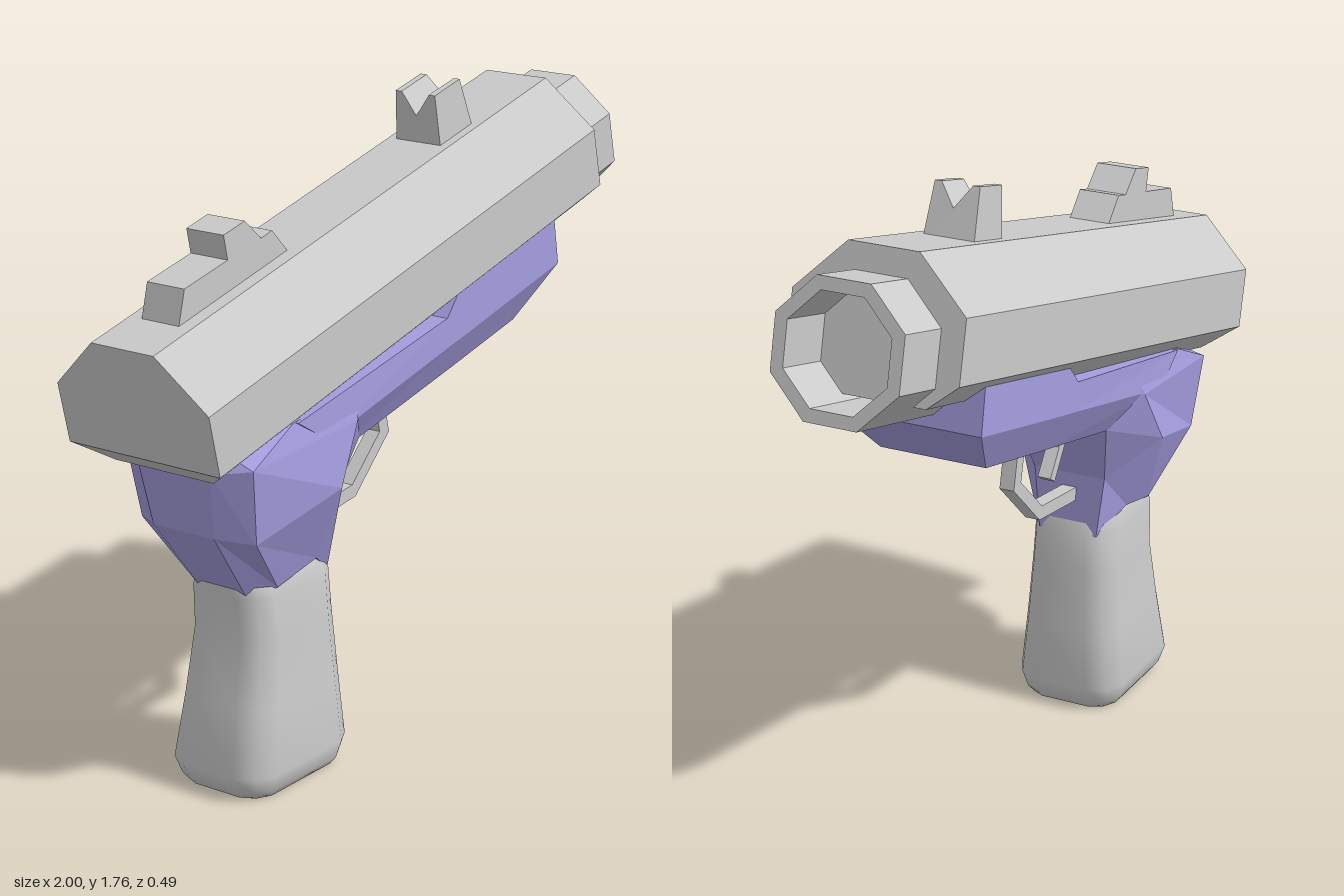
import * as THREE from 'three';

const grey = new THREE.MeshStandardMaterial({ color: 0xcccccc, flatShading: true });
const greyDouble = new THREE.MeshStandardMaterial({ color: 0xcccccc, flatShading: true, side: THREE.DoubleSide });
const greySmooth = new THREE.MeshStandardMaterial({ color: 0xcccccc });
const purple = new THREE.MeshStandardMaterial({ color: 0xa59ee0, flatShading: true });

function add(parent, name, geometry, material) {
  const mesh = new THREE.Mesh(geometry, material);
  mesh.name = name;
  parent.add(mesh);
  return mesh;
}

// Closed skin through cross-sections; each section is a half outline [x, y, z] mirrored in z
function loft(halves) {
  const rings = halves.map(h => [...h, ...h.map(([x, y, z]) => [x, y, -z]).reverse()]);
  const n = rings[0].length, last = (rings.length - 1) * n;
  const pts = rings.flat(), index = [];
  for (let r = 0; r < rings.length - 1; r++) {
    for (let i = 0; i < n; i++) {
      const a = r * n + i, b = r * n + (i + 1) % n;
      index.push(a, b, a + n, b, b + n, a + n);
    }
  }
  // End caps in strips between mirrored points
  for (let i = 0; i < n / 2 - 1; i++) {
    const a = i, b = i + 1, c = n - 2 - i, d = n - 1 - i;
    index.push(a, c, b, a, d, c);
    index.push(last + a, last + b, last + c, last + a, last + c, last + d);
  }
  // Turn the faces outward if the enclosed volume is negative
  let volume = 0;
  const v = i => new THREE.Vector3(...pts[i]);
  for (let i = 0; i < index.length; i += 3) {
    volume += v(index[i]).dot(v(index[i + 1]).cross(v(index[i + 2])));
  }
  if (volume < 0) index.reverse();
  const g = new THREE.BufferGeometry();
  g.setAttribute('position', new THREE.Float32BufferAttribute(pts.flat(), 3));
  g.setIndex(index);
  g.computeVertexNormals();
  return g;
}

// Flat side outline given thickness, centred on z = 0
function plate(outline, width) {
  const shape = new THREE.Shape(outline.map(p => new THREE.Vector2(...p)));
  return new THREE.ExtrudeGeometry(shape, { depth: width, bevelEnabled: false }).translate(0, 0, -width / 2);
}

export function createModel() {
  const model = new THREE.Group();
  model.name = 'blaster';

  // Tilted upper assembly: x runs along the barrel, y = 0 is the top face
  const upper = new THREE.Group();
  upper.name = 'upperAssembly';
  upper.position.set(-1, 1.3, 0);
  upper.rotation.z = Math.atan2(0.41, 1.72);
  model.add(upper);

  // Slide with a chamfered lower rear edge
  const section = [[0, 0.1], [-0.14, 0.245], [-0.31, 0.245], [-0.38, 0.16]];
  add(upper, 'slide', loft([
    section.map(([y, z], i) => [i === 3 ? 0.064 : 0, y, z]),
    section.map(([y, z]) => [1.769, y, z]),
  ]), grey);

  // Hollow eight-sided barrel with a stepped bore
  const k = 1 / Math.cos(Math.PI / 8);
  const profile = [[0, 0.72], [0.18, 0.72], [0.18, 1.95], [0.145, 1.95], [0.145, 1.02], [0.1, 1.02], [0.1, 0.76], [0, 0.76]];
  const barrel = add(upper, 'barrel', new THREE.LatheGeometry(
    profile.map(([r, y]) => new THREE.Vector2(r * k, y)), 8, Math.PI / 8), greyDouble);
  barrel.rotation.z = -Math.PI / 2;
  barrel.position.y = -0.25;

  // Front sight: notched profile along the barrel, narrowing upward
  const notch = new THREE.Shape([
    [-0.075, -0.03], [0.075, -0.03], [0.065, 0.138], [0.045, 0.138],
    [0, 0.075], [-0.045, 0.138], [-0.065, 0.138],
  ].map(p => new THREE.Vector2(...p)));
  const sight = new THREE.ExtrudeGeometry(notch, { depth: 0.16, bevelEnabled: false });
  sight.translate(0, 0, -0.08).rotateY(Math.PI / 2);
  const pos = sight.attributes.position;
  for (let i = 0; i < pos.count; i++) {
    pos.setX(i, pos.getX(i) * (1 - Math.max(0, pos.getY(i)) * 1.8));
  }
  add(upper, 'frontSight', sight, grey).position.x = 1.355;

  // Stepped rear sight
  add(model, 'rearSight', plate([
    [-0.86, 1.31], [-0.83, 1.425], [-0.66, 1.463], [-0.675, 1.53], [-0.59, 1.55],
    [-0.525, 1.492], [-0.48, 1.503], [-0.4, 1.42],
  ], 0.12), grey);

  // Forward part of the frame under the slide
  add(model, 'frameRail', loft([
    [[-0.57, 1.04, 0.21], [-0.45, 0.965, 0.215], [-0.4, 0.867, 0.15]],
    [[0.08, 1.17, 0.215], [0.1, 1.09, 0.215], [0.12, 0.983, 0.155]],
    [[0.15, 1.25, 0.215], [0.17, 1.105, 0.215], [0.19, 0.998, 0.155]],
    [[0.6, 1.35, 0.215], [0.625, 1.21, 0.215], [0.49, 1.065, 0.155]],
  ]), purple);

  // Faceted collar joining the frame to the grip
  add(model, 'frameCollar', loft([
    [[-0.63, 0.56, 0.08], [-0.56, 0.575, 0.13], [-0.4, 0.61, 0.135], [-0.295, 0.54, 0.09]],
    [[-0.78, 0.765, 0.1], [-0.72, 0.75, 0.19], [-0.42, 0.83, 0.235], [-0.305, 0.72, 0.11]],
    [[-0.815, 0.95, 0.12], [-0.755, 0.96, 0.21], [-0.33, 0.99, 0.22], [-0.23, 0.905, 0.15]],
    [[-0.79, 1.02, 0.11], [-0.58, 1.04, 0.2], [-0.3, 1.08, 0.2], [-0.2, 1.08, 0.15]],
  ]), purple);

  // Smooth grip: [y, back x, front x, half width, corner cut]
  const gripSections = [
    [0, -0.66, -0.285, 0.135, 0.06], [0.02, -0.68, -0.268, 0.15, 0.07], [0.07, -0.7, -0.252, 0.165, 0.08],
    [0.25, -0.667, -0.262, 0.15, 0.08], [0.43, -0.635, -0.276, 0.137, 0.075],
    [0.55, -0.643, -0.285, 0.13, 0.07], [0.65, -0.64, -0.33, 0.11, 0.06],
  ];
  add(model, 'grip', loft(gripSections.map(([y, b, f, w, c]) => [
    [b, y, w - c], [b + c * 0.35, y, w - c * 0.35], [b + c, y, w],
    [f - c, y, w], [f - c * 0.35, y, w - c * 0.35], [f, y, w - c],
  ])), greySmooth);

  // Trigger and its guard
  add(model, 'triggerGuard', plate([
    [0.04, 0.99], [0.08, 0.815], [-0.075, 0.668], [-0.32, 0.638],
    [-0.32, 0.678], [-0.09, 0.705], [0.037, 0.825], [0, 0.98],
  ], 0.044), grey);
  add(model, 'trigger', plate([
    [-0.24, 0.93], [-0.2, 0.93], [-0.198, 0.84], [-0.145, 0.765], [-0.172, 0.747], [-0.236, 0.84],
  ], 0.04), grey);

  return model;
}
